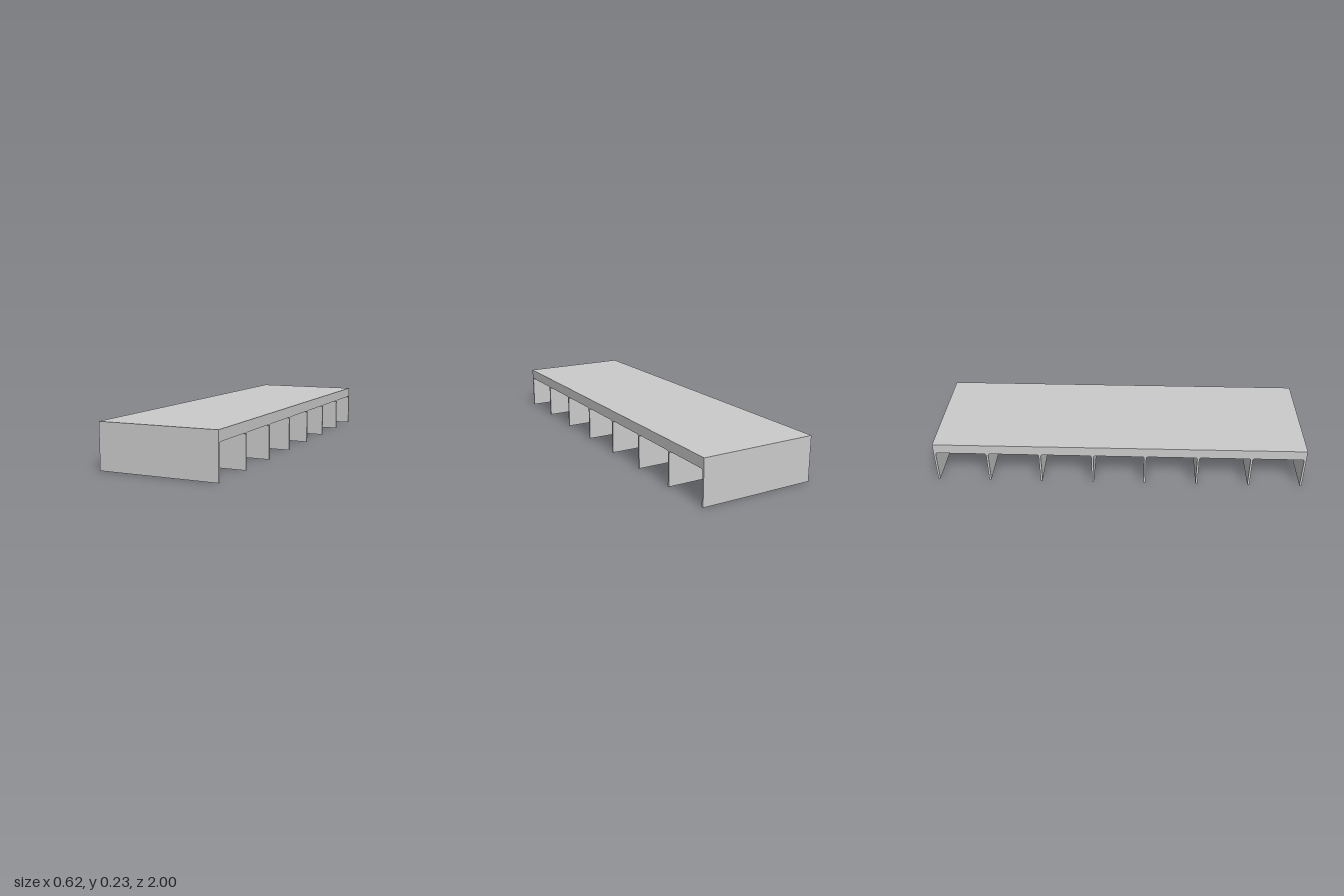
import * as THREE from 'three';

const W = 0.62, H = 0.235, L = 2, T = 0.011; // overall size and board thickness
const BAYS = 7, OPEN = 0.18, R = 0.012;      // side openings
const PITCH = (L - T) / BAYS;

export function createModel() {
  const model = new THREE.Group();
  const material = new THREE.MeshStandardMaterial({ color: 0xcccccc });

  function add(name, geometry, x, y, z) {
    const mesh = new THREE.Mesh(geometry, material);
    mesh.name = name;
    mesh.position.set(x, y, z);
    model.add(mesh);
    return mesh;
  }

  // Top board
  add('topBoard', new THREE.BoxGeometry(W, T, L), 0, H - T / 2, 0);

  // Cross panels: the two ends and the dividers between bays
  for (let i = 0; i <= BAYS; i++) {
    const end = i === 0 || i === BAYS;
    add(end ? 'endPanel' : 'divider', new THREE.BoxGeometry(W - 2 * T, H - T, T),
      0, (H - T) / 2, -L / 2 + T / 2 + i * PITCH);
  }

  // Central spine, one board per bay
  for (let i = 0; i < BAYS; i++) {
    add('spine', new THREE.BoxGeometry(T, H - T, PITCH - T),
      0, (H - T) / 2, -L / 2 + T / 2 + (i + 0.5) * PITCH);
  }

  // Side frames: long fascia with open bays, rounded at the upper corners
  const side = new THREE.Shape();
  side.moveTo(-L / 2, H - T);
  side.lineTo(-L / 2, 0);
  for (let i = 0; i < BAYS; i++) {
    const a = -L / 2 + T + i * PITCH, b = a + PITCH - T;
    side.lineTo(a, 0);
    side.lineTo(a, OPEN - R);
    side.quadraticCurveTo(a, OPEN, a + R, OPEN);
    side.lineTo(b - R, OPEN);
    side.quadraticCurveTo(b, OPEN, b, OPEN - R);
    side.lineTo(b, 0);
  }
  side.lineTo(L / 2, 0);
  side.lineTo(L / 2, H - T);
  side.closePath();
  const sideGeometry = new THREE.ExtrudeGeometry(side, { depth: T, bevelEnabled: false, curveSegments: 5 });
  sideGeometry.translate(0, 0, -T / 2);
  sideGeometry.rotateY(Math.PI / 2);
  for (const s of [-1, 1]) {
    add(s > 0 ? 'leftSideFrame' : 'rightSideFrame', sideGeometry, s * (W - T) / 2, 0, 0);
  }

  return model;
}
